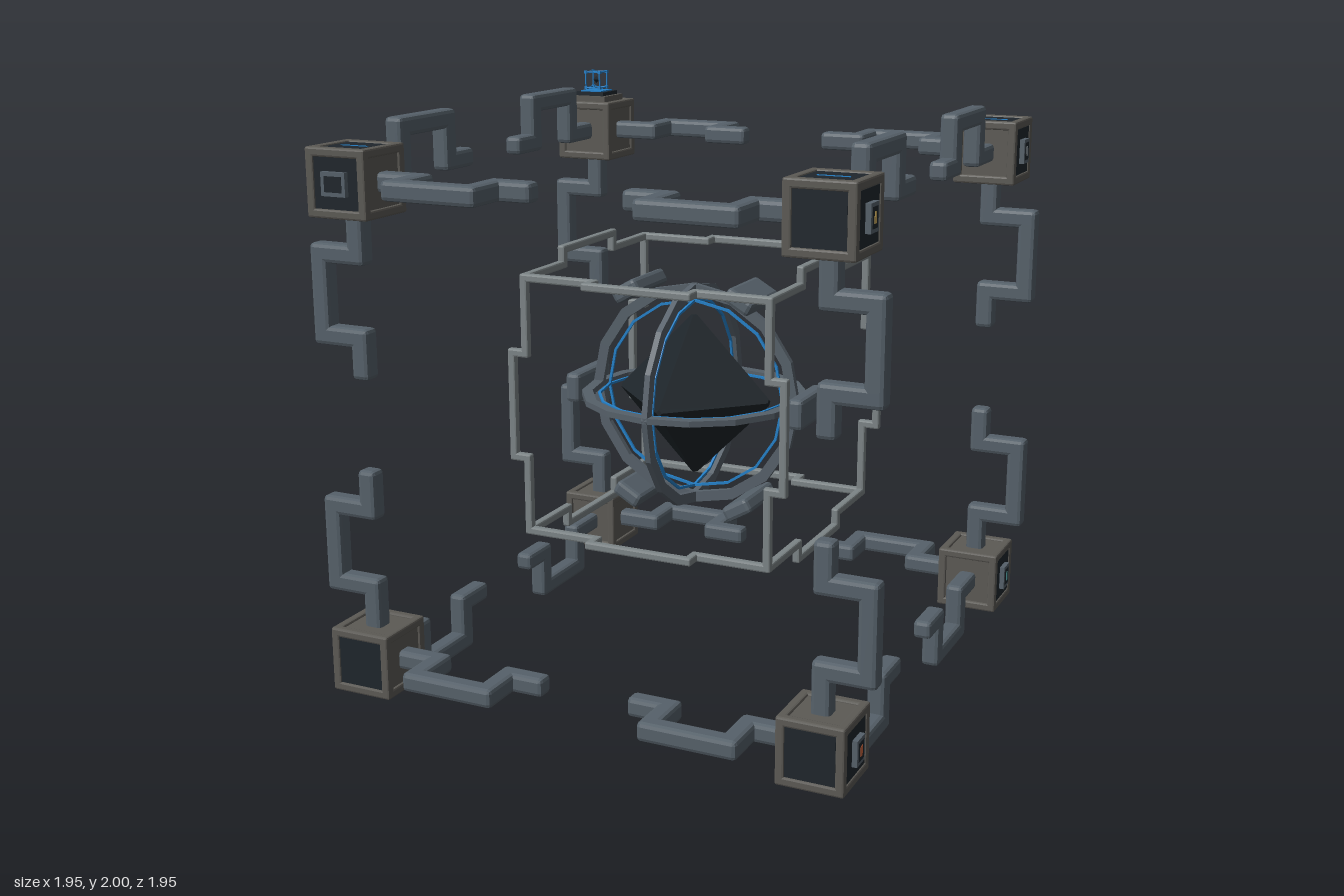
import * as THREE from 'three';
import { RoundedBoxGeometry } from 'three/addons/geometries/RoundedBoxGeometry.js';
import { ConvexGeometry } from 'three/addons/geometries/ConvexGeometry.js';

const paint = (color) => new THREE.MeshStandardMaterial({ color, flatShading: true });
const SIGNS = [-1, 1];
const CY = 0.977; // height of the centre

export function createModel() {
  const root = new THREE.Group();
  const mat = {
    arm: paint(0x56616a), frame: paint(0x7c8486), casing: paint(0x5c5a55), panel: paint(0x1f262c),
    core: paint(0x1e252a), ring: paint(0x566069), blue: paint(0x2480c8),
  };

  const group = (name, parent, x = 0, y = 0, z = 0) => {
    const g = new THREE.Group();
    g.name = name;
    g.position.set(x, y, z);
    parent.add(g);
    return g;
  };
  const add = (name, parent, geometry, material, pos = [0, 0, 0]) => {
    const m = new THREE.Mesh(geometry, material);
    m.name = name;
    m.position.set(...pos);
    parent.add(m);
    return m;
  };
  // Chamfered square bars following an axis-aligned path
  const path = (name, parent, points, t, material, bevel = t * 0.22) => {
    for (let i = 0; i + 1 < points.length; i++) {
      const a = points[i], b = points[i + 1];
      const size = a.map((v, k) => Math.abs(v - b[k]) + t);
      add(name, parent, new RoundedBoxGeometry(...size, 1, bevel), material,
        a.map((v, k) => (v + b[k]) / 2));
    }
  };
  // Box that is `depth` thick along one axis, u by v across the others
  const plate = (name, parent, axis, sign, at, depth, u, v, material) => {
    const size = [];
    size[axis] = depth;
    size[(axis + 1) % 3] = u;
    size[(axis + 2) % 3] = v;
    const pos = [0, 0, 0];
    pos[axis] = sign * at;
    add(name, parent, new THREE.BoxGeometry(...size), material, pos);
  };
  // Point from values along axis i and the two axes that follow it
  const point = (i, along, next, last) => {
    const p = [0, 0, 0];
    p[i] = along;
    p[(i + 1) % 3] = next;
    p[(i + 2) % 3] = last;
    return p;
  };
  // Calls back for each of the 12 edges of a cube
  const edges = (fn) => {
    for (let i = 0; i < 3; i++) for (const s of SIGNS) for (const t of SIGNS) fn(i, s, t);
  };

  // Corner blocks with stepped arms
  const glow = [0xc9a85a, 0x8a9499, 0xc8643c, 0x4f9a9a];
  for (const sx of SIGNS) for (const sy of SIGNS) for (const sz of SIGNS) {
    const s = [sx, sy, sz];
    const hasEmitter = sx < 0 && sy > 0 && sz < 0;
    const corner = group('cornerUnit', root, sx * 0.8, CY + sy * 0.8, sz * 0.8);
    add('cornerBlock', corner, new THREE.BoxGeometry(0.205, 0.205, 0.205), mat.casing);
    edges((i, a, b) => path('blockEdge', corner,
      [point(i, -0.096, a * 0.096, b * 0.096), point(i, 0.096, a * 0.096, b * 0.096)], 0.03, mat.casing));
    for (let i = 0; i < 3; i++) {
      plate('facePanel', corner, i, s[i], 0.102, 0.008, 0.162, 0.162, mat.panel);
      // arm runs inward, stepping outward in its middle
      const j = (i + 1) % 3, k = (i + 2) % 3;
      const steps = [[0.09, 0], [0.24, 0], [0.24, 0.143], [0.51, 0.143], [0.51, 0], [0.615, 0]];
      path('steppedArm', corner, steps.map(([d, out]) => {
        const p = [0, 0, 0];
        p[i] = -s[i] * d;
        p[k] = s[k] * out;
        p[j] = 0;
        return p;
      }), 0.064, mat.arm);
    }
    // side readouts
    const light = paint(glow[(sy > 0 ? 0 : 2) + (sz > 0 ? 0 : 1)]);
    plate('readoutFrame', corner, 0, sx, 0.113, 0.02, 0.085, 0.066, mat.arm);
    plate('readoutScreen', corner, 0, sx, 0.1225, 0.003, 0.062, 0.044, mat.panel);
    plate('readoutLight', corner, 0, sx, 0.124, 0.003, 0.034, 0.015, light);
    if (sx * sy * sz < 0 && sx * sz < 0) {
      plate('readoutFrame', corner, 2, sz, 0.113, 0.02, 0.09, 0.076, mat.arm);
      plate('readoutScreen', corner, 2, sz, 0.1225, 0.003, 0.065, 0.05, mat.panel);
    }
    if (!hasEmitter) plate('lightStrip', corner, 1, sy, 0.106, 0.004, 0.007, 0.1, mat.blue);

    // Projector with a miniature cage above it
    if (hasEmitter) {
      plate('projectorBase', corner, 1, 1, 0.117, 0.026, 0.15, 0.15, mat.casing);
      plate('projectorStep', corner, 1, 1, 0.136, 0.016, 0.12, 0.12, mat.panel);
      plate('projectorLight', corner, 1, 1, 0.146, 0.005, 0.09, 0.09, mat.blue);
      const mini = group('miniature', corner, 0, 0.188, 0);
      edges((i, a, b) => path('miniatureEdge', mini,
        [point(i, -0.03, a * 0.03, b * 0.03), point(i, 0.03, a * 0.03, b * 0.03)], 0.005, mat.blue));
      for (const x of SIGNS) for (const y of SIGNS) for (const z of SIGNS) {
        add('miniatureCorner', mini, new THREE.BoxGeometry(0.011, 0.011, 0.011), mat.blue,
          [x * 0.0295, y * 0.0295, z * 0.0295]);
      }
      add('miniatureCore', mini, new THREE.OctahedronGeometry(0.014), mat.panel);
    }
  }

  // Thin inner cage, each edge stepping outward in its middle
  const cage = group('innerCage', root, 0.035, 1.0, 0.02);
  edges((i, a, b) => {
    const h = 0.436, o = h + 0.052;
    path('cageEdge', cage, [[-h, h], [-0.18, h], [-0.18, o], [0.18, o], [0.18, h], [h, h]]
      .map(([d, out]) => point(i, d, a * h, b * out)), 0.027, mat.frame);
  });

  // Core: octahedron with blunted tips
  const centre = group('centre', root, 0, CY, 0);
  const tips = [];
  for (let i = 0; i < 3; i++) for (const s of SIGNS) for (const a of SIGNS) {
    tips.push(new THREE.Vector3(...point(i, s * 0.28, a * 0.012, 0)));
    tips.push(new THREE.Vector3(...point(i, s * 0.28, 0, a * 0.012)));
  }
  add('core', centre, new ConvexGeometry(tips), mat.core);

  // Three crossing rings, each with a slim light ring inside
  const ring = (inner, outer, h) => new THREE.LatheGeometry(
    [[inner, -h], [outer, -h], [outer, h], [inner, h], [inner, -h]].map((p) => new THREE.Vector2(...p)), 16);
  for (const [rx, rz] of [[0, 0], [Math.PI / 2, 0], [0, Math.PI / 2]]) {
    add('ring', centre, ring(0.355, 0.392, 0.01), mat.ring).rotation.set(rx, 0, rz);
    add('lightRing', centre, ring(0.327, 0.336, 0.004), mat.blue).rotation.set(rx, 0, rz);
  }

  // Six pads around the front-facing ring
  for (let n = 0; n < 6; n++) {
    const a = n * Math.PI / 3;
    const pad = add('ringPad', centre, new RoundedBoxGeometry(0.055, 0.105, 0.235, 1, 0.014), mat.arm,
      [Math.cos(a) * 0.42, Math.sin(a) * 0.42, 0]);
    pad.rotation.z = a;
  }
  return root;
}
